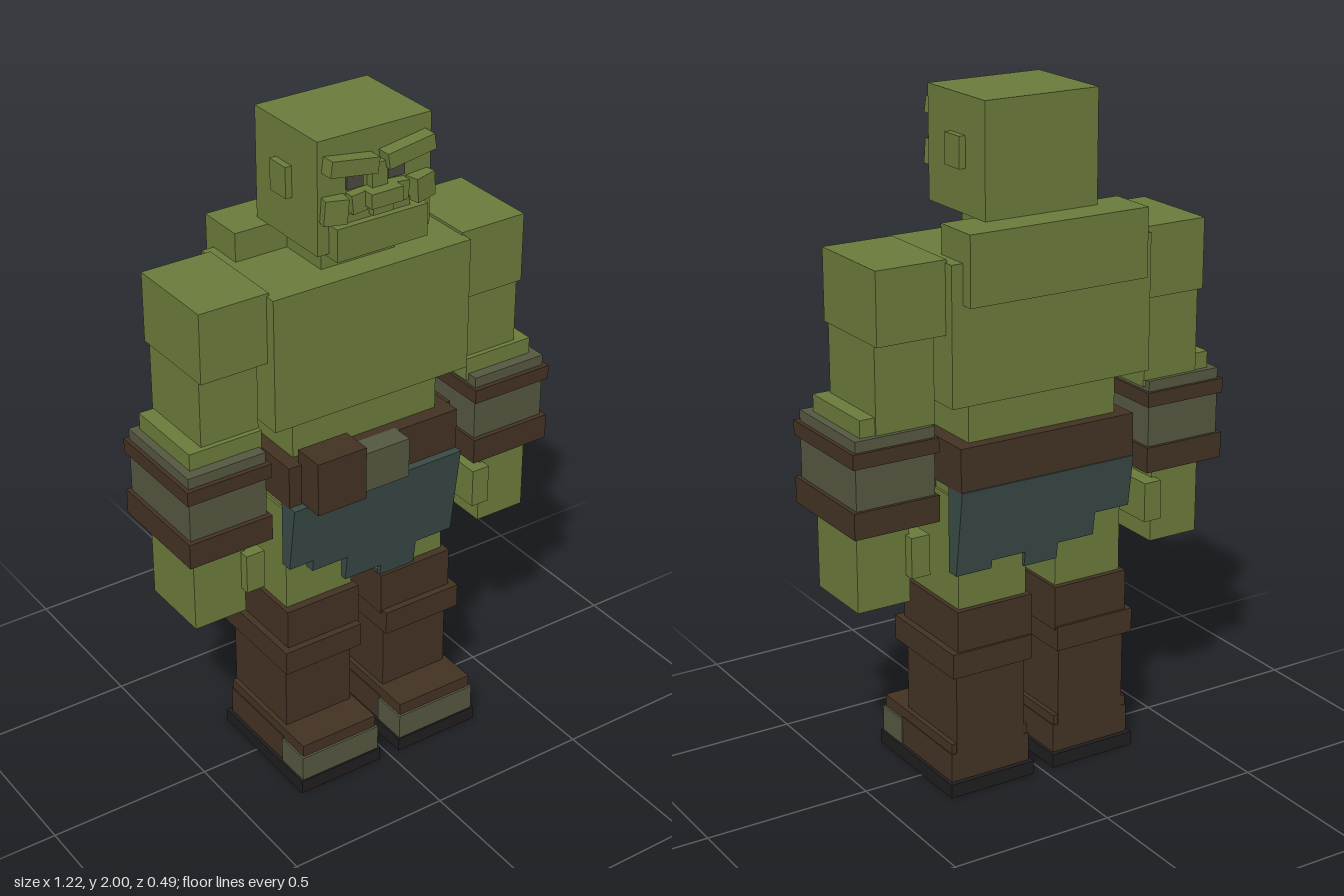
import * as THREE from 'three';

const mat = (name, color, side = THREE.FrontSide) => {
  const m = new THREE.MeshStandardMaterial({ color, side });
  m.name = name;
  return m;
};

export function createModel() {
  const root = new THREE.Group();
  root.name = 'bruteFigure';
  const skin = mat('greenSkin', 0x6a7a3a);
  const leather = mat('brownLeather', 0x423122);
  const metal = mat('dullMetal', 0x54573f);
  const cloth = mat('tealCloth', 0x394a46, THREE.DoubleSide);
  const sole = mat('blackSole', 0x1f1d1d);
  const eye = mat('darkEye', 0x48483c);

  // Box from its minimum and maximum on each axis
  const box = (name, m, [x0, x1], [y0, y1], [z0, z1], parent = root) => {
    const mesh = new THREE.Mesh(new THREE.BoxGeometry(x1 - x0, y1 - y0, z1 - z0), m);
    mesh.position.set((x0 + x1) / 2, (y0 + y1) / 2, (z0 + z1) / 2);
    mesh.name = name;
    parent.add(mesh);
    return mesh;
  };
  // The same box on both sides, with mirrored rotation
  const pair = (name, m, [x0, x1], y, z, rotY = 0, rotZ = 0) => {
    box(name + 'Left', m, [x0, x1], y, z).rotation.set(0, rotY, rotZ);
    box(name + 'Right', m, [-x1, -x0], y, z).rotation.set(0, -rotY, -rotZ);
  };

  // Head
  box('head', skin, [-0.18, 0.18], [1.675, 2], [-0.15, 0.145]);
  pair('ear', skin, [0.17, 0.2], [1.8, 1.89], [-0.05, 0.025]);
  box('jaw', skin, [-0.145, 0.145], [1.665, 1.76], [0.11, 0.185]);
  box('upperLip', skin, [-0.1, 0.1], [1.755, 1.785], [0.13, 0.165]);
  pair('brow', skin, [0.015, 0.165], [1.9, 1.945], [0.13, 0.188], 0, 0.15);
  box('browBridge', skin, [-0.025, 0.025], [1.84, 1.91], [0.13, 0.17]);
  box('noseTip', skin, [-0.05, 0.05], [1.8, 1.842], [0.13, 0.205]);
  box('noseBase', skin, [-0.032, 0.032], [1.77, 1.81], [0.13, 0.185]);
  pair('noseWing', skin, [0.045, 0.09], [1.785, 1.84], [0.13, 0.175], 0, -0.1);
  pair('cheek', skin, [0.105, 0.172], [1.77, 1.84], [0.13, 0.18], 0.2, 0.08);
  pair('eye', eye, [0.04, 0.092], [1.845, 1.888], [0.144, 0.151]);

  // Torso
  box('neck', skin, [-0.12, 0.12], [1.58, 1.69], [-0.1, 0.07]);
  box('upperBack', skin, [-0.285, 0.285], [1.475, 1.675], [-0.245, -0.095]);
  box('chest', skin, [-0.323, 0.32], [1.19, 1.59], [-0.207, 0.15]);
  box('waist', skin, [-0.243, 0.24], [1.04, 1.2], [-0.155, 0.11]);
  box('pelvis', skin, [-0.265, 0.265], [0.72, 0.95], [-0.14, 0.105]);

  // Arms
  pair('shoulder', skin, [0.315, 0.53], [1.39, 1.598], [-0.175, 0.117]);
  pair('upperArm', skin, [0.346, 0.527], [1.14, 1.4], [-0.155, 0.1]);
  pair('elbow', skin, [0.346, 0.573], [1.12, 1.19], [-0.15, 0.115]);
  pair('bracer', metal, [0.355, 0.598], [0.9, 1.14], [-0.168, 0.148]);
  pair('bracerUpperStrap', leather, [0.346, 0.61], [1.065, 1.108], [-0.178, 0.163]);
  pair('bracerLowerStrap', leather, [0.346, 0.61], [0.865, 0.942], [-0.178, 0.163]);
  pair('hand', skin, [0.408, 0.572], [0.62, 0.9], [-0.115, 0.112]);
  pair('thumb', skin, [0.362, 0.42], [0.7, 0.82], [-0.148, 0.142]);

  // Belt
  box('belt', leather, [-0.285, 0.285], [0.935, 1.065], [-0.19, 0.155]);
  box('buckle', metal, [-0.085, 0.08], [0.942, 1.065], [0.14, 0.21]);
  box('beltPouch', leather, [-0.245, -0.085], [0.942, 1.106], [0.14, 0.238]);
  box('sidePouch', leather, [0.25, 0.302], [0.9, 1.06], [-0.02, 0.1]);

  // Ragged loincloth: side-by-side strips, each a wedge leaning inward
  const skirt = (name, steps, sign, zTop, slope, zInner) => {
    const group = new THREE.Group();
    group.name = name;
    for (const [x0, x1, y0] of steps) {
      const strip = box('clothStrip', cloth, [x0, x1], [y0, 0.938],
        sign > 0 ? [zInner, zTop] : [-zTop, -zInner], group);
      const p = strip.geometry.attributes.position;
      for (let i = 0; i < p.count; i++) {
        if (p.getY(i) < 0 && p.getZ(i) * sign > 0) {
          p.setZ(i, p.getZ(i) - sign * slope * (0.938 - y0));
        }
      }
      strip.geometry.computeVertexNormals();
    }
    root.add(group);
  };
  skirt('frontLoincloth', [[-0.285, -0.205, 0.73], [-0.205, -0.085, 0.692],
    [-0.085, 0.04, 0.61], [0.04, 0.16, 0.575], [0.16, 0.285, 0.652]], 1, 0.18, 0.14, 0.115);
  skirt('backLoincloth', [[0.17, 0.285, 0.68], [0.06, 0.17, 0.705],
    [-0.05, 0.06, 0.66], [-0.17, -0.05, 0.71], [-0.285, -0.17, 0.78]], -1, 0.195, 0.14, 0.12);

  // Legs and boots
  pair('thigh', skin, [0.05, 0.272], [0.55, 0.9], [-0.148, 0.112]);
  pair('bootTop', leather, [0.04, 0.285], [0.44, 0.573], [-0.165, 0.137]);
  pair('bootCuff', leather, [0.045, 0.305], [0.375, 0.45], [-0.172, 0.158]);
  pair('bootShaft', leather, [0.06, 0.285], [0.04, 0.38], [-0.155, 0.122]);
  pair('bootHeel', leather, [0.043, 0.303], [0.04, 0.13], [-0.155, 0.13]);
  pair('bootInstep', leather, [0.046, 0.3], [0.12, 0.16], [-0.152, 0.233]);
  pair('toeCap', metal, [0.04, 0.306], [0.04, 0.122], [0.128, 0.24]);
  pair('sole', sole, [0.034, 0.313], [0, 0.042], [-0.17, 0.245]);

  return root;
}
